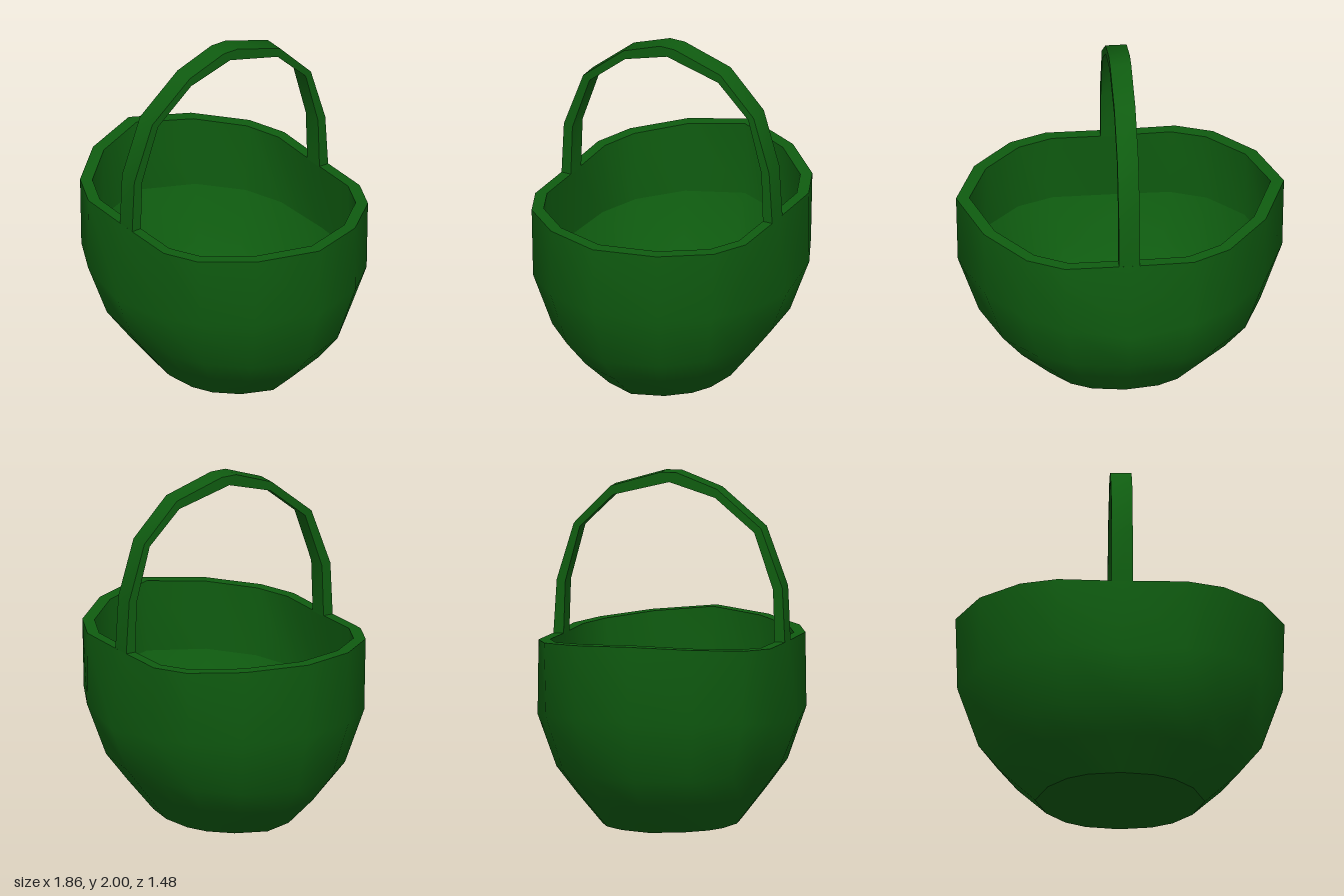
import * as THREE from 'three';
import { mergeGeometries, toCreasedNormals } from 'three/addons/utils/BufferGeometryUtils.js';

// One quadrant of an outline as [x, z] fractions, from the x end to the z end
const RIM = [[1, 0], [0.86, 0.5], [0.62, 0.865], [0.395, 1], [0, 1]];
const BELLY = [[1, 0], [0.86, 0.47], [0.63, 0.78], [0.39, 0.93], [0, 1]];

// Mirrors a quadrant into a closed 16-point loop
function loop(quadrant) {
  const half = [...quadrant, ...quadrant.slice(0, 4).reverse().map(([x, z]) => [-x, z])];
  return [...half, ...half.slice(1, -1).reverse().map(([x, z]) => [x, -z])];
}

// A ring of points; height(fx) gives y from the x fraction
function ring(quadrant, rx, rz, height) {
  return loop(quadrant).map(([x, z]) => [x * rx, height(x), z * rz]);
}

const sag = (endY, sideY) => (x) => sideY + (endY - sideY) * Math.abs(x);
const rimHeight = (x) => 1.055 + 0.06 * Math.abs(x) ** 3 - 0.01 * x;

// Smooth surface through rings, with an optional centre point closing the last one
function skin(rings, centre) {
  const n = rings[0].length;
  const index = [];
  for (let r = 0; r < rings.length - 1; r++) {
    for (let i = 0; i < n; i++) {
      const j = (i + 1) % n;
      const a = r * n + i, b = r * n + j, c = a + n, d = b + n;
      index.push(a, b, c, b, d, c);
    }
  }
  const points = rings.flat();
  if (centre) {
    const start = (rings.length - 1) * n;
    for (let i = 0; i < n; i++) index.push(start + i, start + (i + 1) % n, points.length);
    points.push(centre);
  }
  const geometry = new THREE.BufferGeometry();
  geometry.setAttribute('position', new THREE.Float32BufferAttribute(points.flat(), 3));
  geometry.setIndex(index);
  geometry.computeVertexNormals();
  return geometry;
}

export function createModel() {
  const model = new THREE.Group();
  model.name = 'basket';
  const material = new THREE.MeshStandardMaterial({ color: 0x0f5c10, side: THREE.DoubleSide });
  const add = (name, geometry) => {
    const mesh = new THREE.Mesh(geometry, material);
    mesh.name = name;
    model.add(mesh);
  };

  // Outer bowl and its flat base
  const outerRim = ring(RIM, 0.93, 0.68, rimHeight);
  const base = ring(BELLY, 0.48, 0.38, () => 0);
  const outside = skin([
    outerRim,
    ring(BELLY, 0.92, 0.74, sag(0.69, 0.6)),
    ring(BELLY, 0.8, 0.635, () => 0.335),
    ring(BELLY, 0.67, 0.515, () => 0.175),
    base,
  ]);
  add('outerBowl', mergeGeometries([outside, skin([base], [0, 0, 0])]));

  // Flat lip between outside and inside
  const innerRim = ring(RIM, 0.855, 0.62, rimHeight);
  add('rim', skin([innerRim, outerRim]));

  // Inner wall, then the rounded hollow below its crease
  const crease = ring(BELLY, 0.85, 0.68, sag(0.69, 0.61));
  add('innerWall', skin([crease, innerRim]));
  add('innerHollow', skin([
    ring(BELLY, 0.42, 0.33, () => 0.08),
    ring(BELLY, 0.61, 0.46, () => 0.22),
    ring(BELLY, 0.73, 0.575, () => 0.37),
    crease,
  ]));
  add('innerFloor', skin([ring(BELLY, 0.42, 0.33, () => 0.08)], [0, 0.08, 0])
    .scale(1, -1, 1).translate(0, 0.16, 0));

  // Handle: a faceted arch drawn in the z-y plane, as wide as the strap
  const outerArch = [[0.68, 1.05], [0.665, 1.365], [0.54, 1.7], [0.28, 1.915], [0.045, 2],
    [-0.05, 2], [-0.345, 1.91], [-0.56, 1.69], [-0.66, 1.365], [-0.68, 1.05]];
  const innerArch = [[-0.62, 1.05], [-0.61, 1.355], [-0.525, 1.67], [-0.33, 1.86],
    [0, 1.945], [0.27, 1.865], [0.5, 1.675], [0.61, 1.355], [0.62, 1.05]];
  const arch = new THREE.Shape([...outerArch, ...innerArch].map(([z, y]) => new THREE.Vector2(z, y)));
  const strap = new THREE.ExtrudeGeometry(arch, { depth: 0.12, bevelEnabled: false });
  strap.translate(0, 0, -0.06).rotateY(-Math.PI / 2);
  add('handle', toCreasedNormals(strap, 0.6));

  return model;
}
